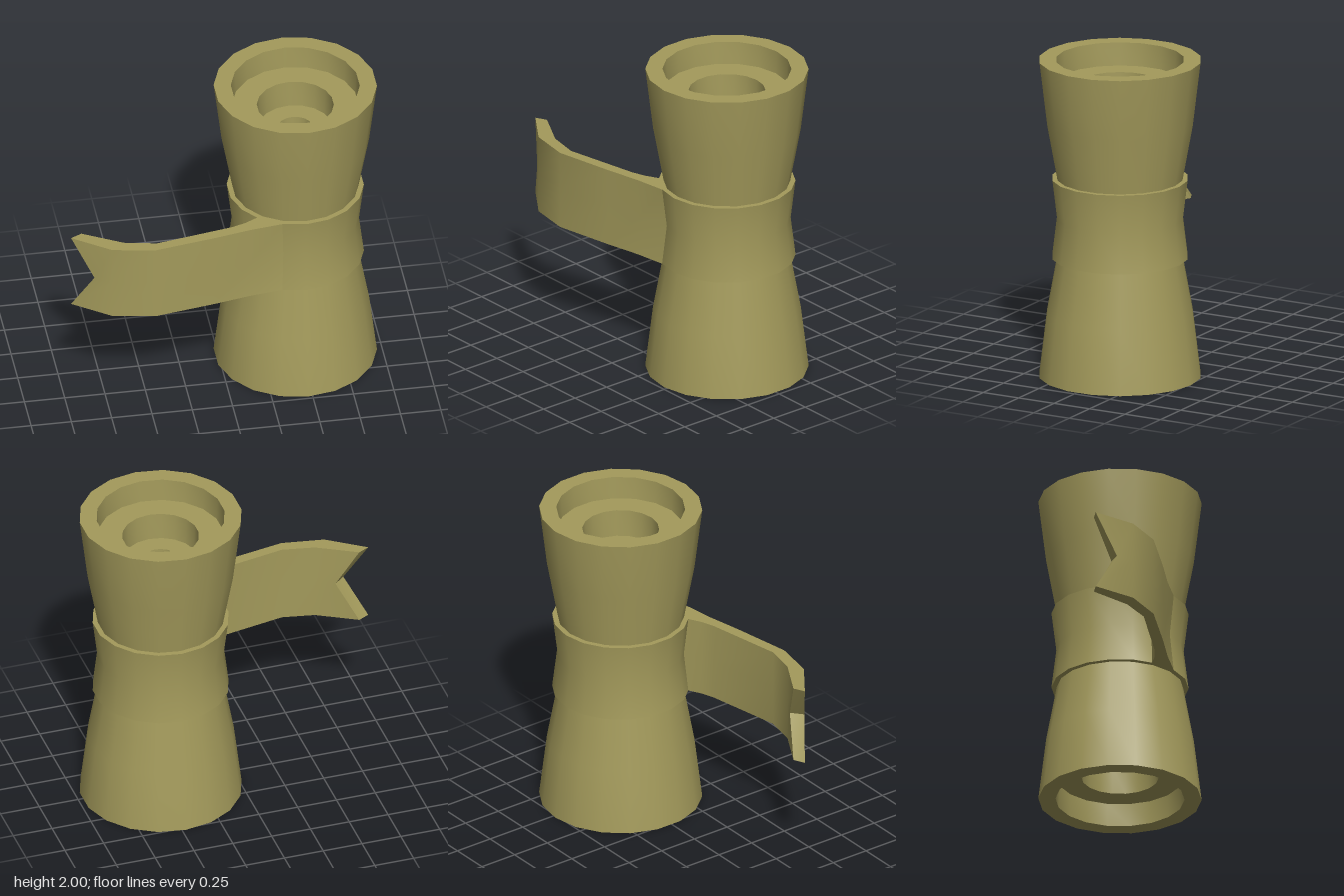
import * as THREE from 'three';
import { toCreasedNormals } from 'three/addons/utils/BufferGeometryUtils.js';

const SIDES = 18;
const AXIS = { x: 0.475, z: -0.02 };
const material = new THREE.MeshStandardMaterial({ color: 0xa39a5b });

function addMesh(group, name, geometry) {
  const mesh = new THREE.Mesh(toCreasedNormals(geometry, 0.6), material);
  mesh.name = name;
  group.add(mesh);
  return mesh;
}

// Closed profile turned around the body axis
function addTurned(group, name, profile) {
  const points = [...profile, profile[0]].map(([r, y]) => new THREE.Vector2(r, y));
  addMesh(group, name, new THREE.LatheGeometry(points, SIDES)).position.set(AXIS.x, 0, AXIS.z);
}

// Hanging band end: six-point cross-sections, three on the front and three on the back
function tailGeometry() {
  const ys = [1.25, 1, 0.75];
  // front [x, z], back [x, z], front middle, back middle
  const stations = [
    [[0.33, 0.375], [0.25, 0.25], [0.34, 0.346], [0.25, 0.25]],
    [[0.13, 0.402], [0.11, 0.325], [0.13, 0.395], [0.11, 0.325]],
    [[-0.1, 0.449], [0.02, 0.355]],
    [[-0.48, 0.515], [-0.46, 0.445]],
    [[-0.74, 0.47], [-0.66, 0.405]],
    [[-0.97, 0.305], [-0.9, 0.27], [-0.84, 0.398], [-0.77, 0.34]],
  ];
  const rings = stations.map(([f, b, fm = f, bm = b]) => [
    [f[0], ys[0], f[1]], [fm[0], ys[1], fm[1]], [f[0], ys[2], f[1]],
    [b[0], ys[2], b[1]], [bm[0], ys[1], bm[1]], [b[0], ys[0], b[1]],
  ]);
  const positions = [];
  const quad = (a, b, c, d) => positions.push(...a, ...b, ...c, ...a, ...c, ...d);
  for (let i = 0; i < rings.length - 1; i++) {
    for (let k = 0; k < 6; k++) {
      const n = (k + 1) % 6;
      quad(rings[i][k], rings[i + 1][k], rings[i + 1][n], rings[i][n]);
    }
  }
  // Notched end
  const end = rings[rings.length - 1];
  quad(end[0], end[5], end[4], end[1]);
  quad(end[1], end[4], end[3], end[2]);
  const geometry = new THREE.BufferGeometry();
  geometry.setAttribute('position', new THREE.Float32BufferAttribute(positions, 3));
  return geometry;
}

export function createModel() {
  const group = new THREE.Group();
  group.name = 'bandedSpool';

  // Waisted body with stepped recesses at both ends and a through hole
  const outerHalf = [[0.36, 1], [0.388, 1.25], [0.452, 1.6], [0.5, 2]];
  const innerHalf = [[0.395, 2], [0.388, 1.855], [0.236, 1.855], [0.23, 1.68], [0.11, 1.68], [0.092, 1]];
  const mirror = (half) => half.map(([r, y]) => [r, 2 - y]).reverse();
  addTurned(group, 'body', [
    ...mirror(outerHalf), ...outerHalf.slice(1),
    ...innerHalf, ...mirror(innerHalf).slice(1),
  ]);

  // Band wrapped around the waist
  addTurned(group, 'band', [
    [0.42, 0.75], [0.39, 1], [0.42, 1.25], [0.37, 1.25], [0.35, 1], [0.37, 0.75],
  ]);

  // Loose end of the band
  addMesh(group, 'bandTail', tailGeometry());
  return group;
}
